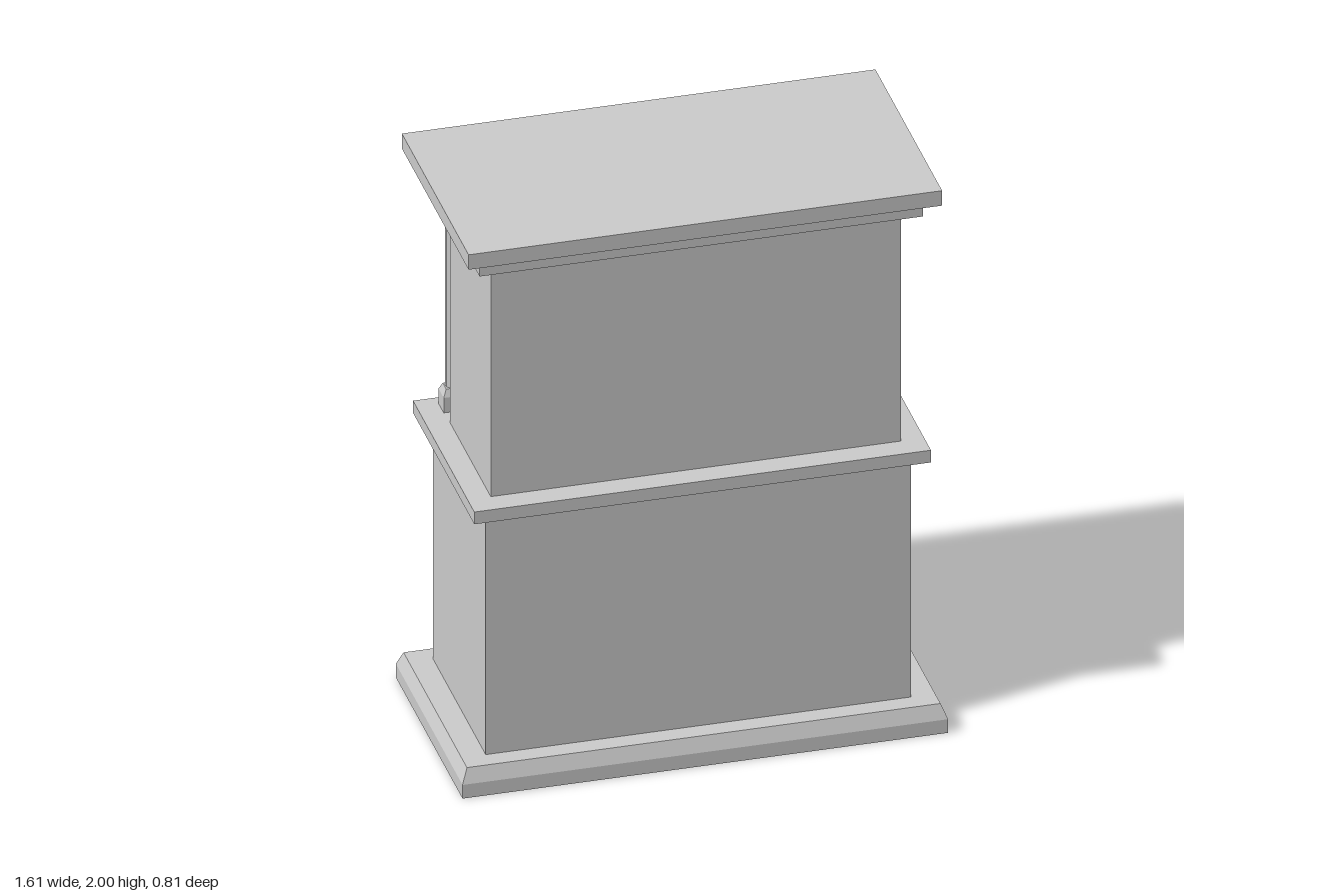
import * as THREE from 'three';

const material = new THREE.MeshStandardMaterial({ color: 0xcccccc });
const flatMaterial = new THREE.MeshStandardMaterial({ color: 0xcccccc, flatShading: true });

export function createModel() {
  const model = new THREE.Group();
  model.name = 'displayCabinet';

  const add = (name, geometry, x = 0, y = 0, z = 0, mat = material) => {
    const mesh = new THREE.Mesh(geometry, mat);
    mesh.name = name;
    mesh.position.set(x, y, z);
    model.add(mesh);
    return mesh;
  };
  // Box given by its limits on each axis
  const block = (name, x0, x1, y0, y1, z0, z1) =>
    add(name, new THREE.BoxGeometry(x1 - x0, y1 - y0, z1 - z0), (x0 + x1) / 2, (y0 + y1) / 2, (z0 + z1) / 2);
  // Box whose top has different half sizes from its bottom
  const taper = (name, x, z, y0, y1, bottom, top) => {
    const g = new THREE.BoxGeometry(2, y1 - y0, 2);
    const p = g.attributes.position;
    for (let i = 0; i < p.count; i++) {
      const half = p.getY(i) > 0 ? top : bottom;
      p.setX(i, p.getX(i) * half[0]);
      p.setZ(i, p.getZ(i) * half[1]);
    }
    g.computeVertexNormals();
    return add(name, g, x, (y0 + y1) / 2, z);
  };
  const rectangle = (path, x0, x1, y0, y1) =>
    path.moveTo(x0, y0).lineTo(x1, y0).lineTo(x1, y1).lineTo(x0, y1).closePath();

  // Plinth, lower case and waist slab
  block('plinth', -0.805, 0.805, 0, 0.05, -0.405, 0.405);
  taper('plinthBevel', 0, 0, 0.05, 0.1, [0.805, 0.405], [0.785, 0.385]);
  block('lowerCase', -0.705, 0.705, 0.1, 0.985, -0.32, 0.32);
  block('waistSlab', -0.757, 0.757, 0.985, 1.03, -0.372, 0.372);

  // Cornice: fascia, cove in small steps, top slab
  block('corniceFascia', -0.735, 0.735, 1.885, 1.93, -0.355, 0.355);
  const cove = [0, 0.008, 0.02, 0.04];
  for (let i = 0; i < 3; i++) {
    const a = cove[i], b = cove[i + 1], y = 1.93 + i * 0.005;
    taper('corniceCove', 0, 0, y, y + 0.005, [0.735 + a, 0.355 + a], [0.735 + b, 0.355 + b]);
  }
  block('corniceTop', -0.785, 0.785, 1.945, 2, -0.405, 0.405);

  // Upper case: an open shell with one shelf
  block('upperBack', -0.68, 0.68, 1.03, 1.885, 0.27, 0.29);
  block('shelf', -0.66, 0.66, 1.4, 1.42, -0.1, 0.27);
  block('ceiling', -0.66, 0.66, 1.865, 1.885, -0.205, 0.27);

  // Flush drawer with a drop handle
  block('drawerFront', -0.582, 0.582, 0.73, 0.93, -0.322, -0.3);
  const bail = new THREE.CatmullRomCurve3([
    [-0.075, 0.865], [-0.068, 0.845], [-0.045, 0.835], [-0.025, 0.828],
    [0.025, 0.828], [0.045, 0.835], [0.068, 0.845], [0.075, 0.865],
  ].map(([x, y]) => new THREE.Vector3(x, y, -0.341)));
  add('drawerHandle', new THREE.TubeGeometry(bail, 32, 0.006, 8));

  for (const s of [-1, 1]) {
    const mirrored = (name, x0, x1, ...rest) =>
      block(name, Math.min(s * x0, s * x1), Math.max(s * x0, s * x1), ...rest);

    // Upper side walls and front jambs
    mirrored('upperSide', 0.66, 0.68, 1.03, 1.885, -0.205, 0.27);
    mirrored('jamb', 0.612, 0.66, 1.03, 1.885, -0.2, -0.17);
    mirrored('jambStrip', 0.616, 0.646, 1.03, 1.885, -0.207, -0.2);

    // Glazed door frame with rounded upper corners
    const door = rectangle(new THREE.Shape(), 0.003, 0.61, 1.035, 1.88);
    const r = 0.08, x0 = 0.06, x1 = 0.56, y0 = 1.09, y1 = 1.81;
    const opening = new THREE.Path();
    opening.moveTo(x0, y0).lineTo(x1, y0).lineTo(x1, y1 - r);
    opening.absarc(x1 - r, y1 - r, r, 0, Math.PI / 2, false);
    opening.lineTo(x0 + r, y1);
    opening.absarc(x0 + r, y1 - r, r, Math.PI / 2, Math.PI, false);
    opening.closePath();
    door.holes.push(opening);
    const doorGeometry = new THREE.ExtrudeGeometry(door, { depth: 0.03, bevelEnabled: false, curveSegments: 10 });
    // Turning about y moves the door to the other side without flipping its faces
    if (s < 0) doorGeometry.rotateY(Math.PI).translate(0, 0, 0.03);
    add('glazedDoor', doorGeometry, 0, 0, -0.205);

    // Glazing bars
    mirrored('verticalBar', 0.303, 0.317, y0, y1, -0.2, -0.182);
    for (const y of [1.33, 1.57]) mirrored('crossBar', x0, x1, y - 0.007, y + 0.007, -0.198, -0.184);

    // Door knob
    add('doorKnob', new THREE.SphereGeometry(0.015, 16, 12), s * 0.033, 1.48, -0.217);

    // Ceiling lamp ring
    const ring = [[0.036, 0.012], [0.036, -0.012], [0.046, -0.012], [0.046, 0.012]]
      .map(([a, b]) => new THREE.Vector2(a, b));
    add('lampRing', new THREE.LatheGeometry(ring, 24), s * 0.34, 1.855, 0,
      new THREE.MeshStandardMaterial({ color: 0xcccccc, side: THREE.DoubleSide }));

    // Lower door: raised moulding around a panel
    mirrored('doorPanel', 0.08, 0.625, 0.15, 0.64, -0.325, -0.31);
    const frame = rectangle(new THREE.Shape(), -0.293, 0.293, -0.265, 0.265);
    frame.holes.push(rectangle(new THREE.Path(), -0.265, 0.265, -0.237, 0.237));
    add('doorMoulding', new THREE.ExtrudeGeometry(frame, { depth: 0.02, bevelEnabled: false }), s * 0.353, 0.395, -0.334);

    // Drawer handle posts
    add('handlePost', new THREE.CylinderGeometry(0.007, 0.007, 0.025, 10).rotateX(Math.PI / 2), s * 0.075, 0.867, -0.328);
    add('handleBall', new THREE.SphereGeometry(0.015, 16, 12), s * 0.075, 0.867, -0.338);

    // Free-standing column: base, faceted shaft, capital
    const cx = s * 0.651, cz = -0.302;
    block('columnBase', cx - 0.032, cx + 0.032, 1.03, 1.085, cz - 0.032, cz + 0.032);
    taper('columnBaseBevel', cx, cz, 1.085, 1.11, [0.032, 0.032], [0.021, 0.021]);
    add('columnShaft', new THREE.CylinderGeometry(0.018, 0.018, 0.71, 8).rotateY(Math.PI / 8), cx, 1.46, cz, flatMaterial);
    taper('capitalNeck', cx, cz, 1.808, 1.835, [0.021, 0.021], [0.027, 0.027]);
    block('capitalBlock', cx - 0.027, cx + 0.027, 1.835, 1.865, cz - 0.027, cz + 0.027);
    block('capitalTop', cx - 0.031, cx + 0.031, 1.865, 1.886, cz - 0.031, cz + 0.031);
  }
  return model;
}
